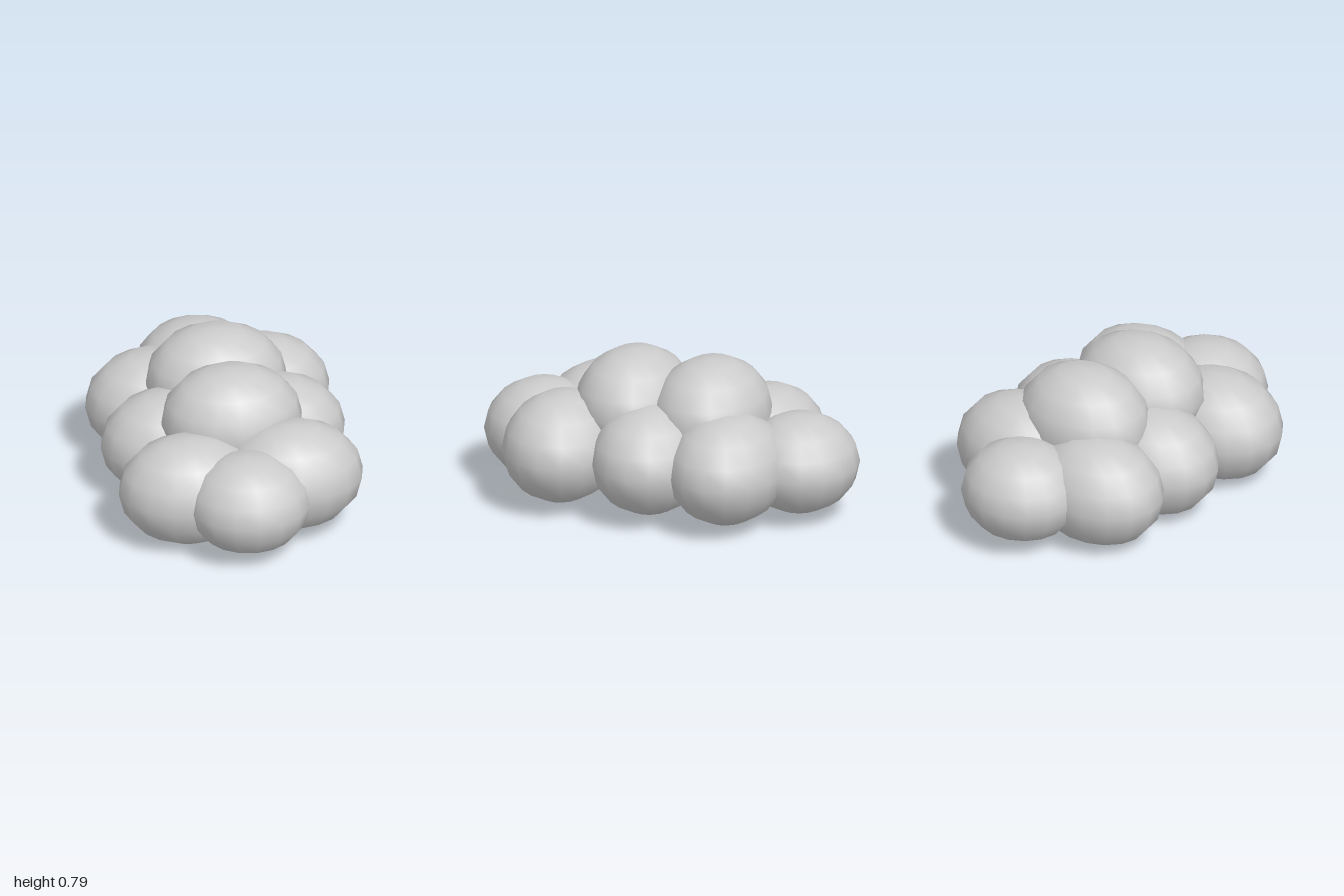
import * as THREE from 'three';

export function createModel() {
  const group = new THREE.Group();
  const grey = new THREE.MeshStandardMaterial({ color: 0xcccccc });
  grey.name = 'light grey';
  const ball = new THREE.SphereGeometry(1, 16, 8);

  // One smooth puff: a stretched low-poly ball
  function puff(name, centre, radii) {
    const mesh = new THREE.Mesh(ball, grey);
    mesh.name = name;
    mesh.position.set(...centre);
    mesh.scale.set(...radii);
    group.add(mesh);
  }

  // End puffs
  puff('frontPuff', [0, 0.295, 0.69], [0.318, 0.255, 0.305]);
  puff('backPuff', [0, 0.295, -0.695], [0.318, 0.255, 0.305]);

  // Two rows of side puffs, the left row sitting slightly higher
  [['Front', 0.485], ['Middle', 0.005], ['Back', -0.41]].forEach(([place, z]) => {
    puff('left' + place + 'Puff', [0.26, 0.316, z + 0.005], [0.367, 0.283, 0.303]);
    puff('right' + place + 'Puff', [-0.262, 0.284, z - 0.005], [0.369, 0.284, 0.3]);
  });

  // Top puffs
  puff('topFrontPuff', [0.007, 0.505, 0.195], [0.363, 0.285, 0.3]);
  puff('topBackPuff', [0.007, 0.505, -0.22], [0.363, 0.285, 0.305]);

  return group;
}
